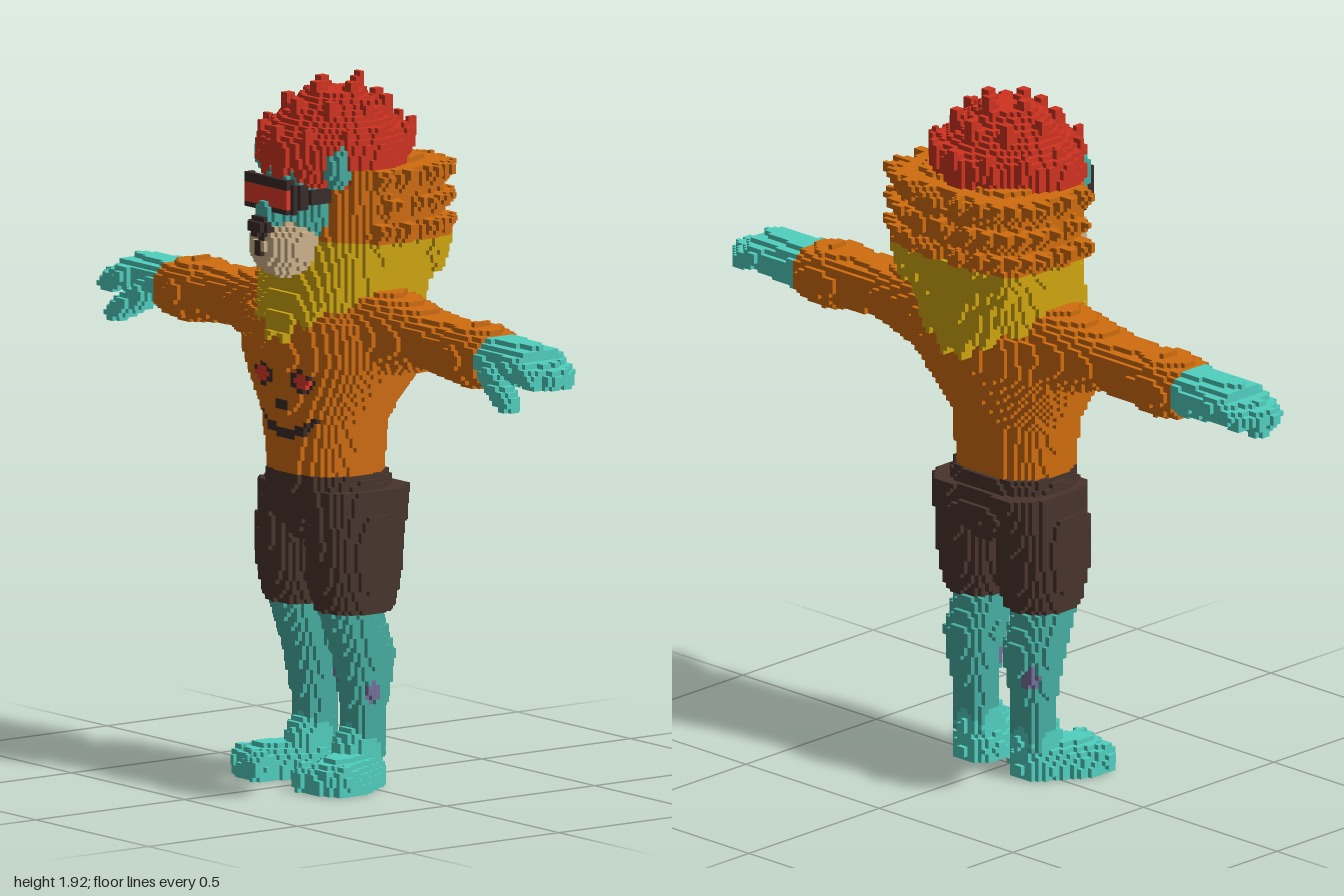
import * as THREE from 'three';

const V = 2 / 150; // cube size

const mat = (name, color) => Object.assign(new THREE.MeshStandardMaterial({ color }), { name });
const orange = mat('orange fur', 0xd06c0e);
const yellow = mat('yellow mane', 0xcfa60f);
const red = mat('red hair', 0xd03320);
const lens = mat('red lens', 0xe03a2a);
const brown = mat('dark brown cloth', 0x48342c);
const black = mat('charcoal', 0x3a2b29);
const cream = mat('cream muzzle', 0xcfb48c);
const teal = mat('teal skin', 0x46aea2);
const aqua = mat('bright teal skin', 0x50d0c0);
const purple = mat('purple mark', 0x74719a);

// Solids are inside-tests; x is mirrored before they are called.
const ball = (cx, cy, cz, rx, ry, rz) => (x, y, z) =>
  ((x - cx) / rx) ** 2 + ((y - cy) / ry) ** 2 + ((z - cz) / rz) ** 2 < 1;

// Tapered rod from a to b
const rod = (a, b, ra, rb) => {
  const line = new THREE.Line3(new THREE.Vector3(...a), new THREE.Vector3(...b));
  const p = new THREE.Vector3(), q = new THREE.Vector3();
  return (x, y, z) => {
    const t = line.closestPointToPointParameter(p.set(x, y, z), true);
    return line.at(t, q).distanceTo(p) < ra + (rb - ra) * t;
  };
};
const spike = (a, b) => rod(a, b, .06, .008);

// Section at t, blended between neighbouring rows
const section = (rows, t) => {
  const i = rows.findIndex((r) => r[0] > t) - 1;
  if (i < 0) return null;
  const A = rows[i], B = rows[i + 1], k = (t - A[0]) / (B[0] - A[0]);
  return A.map((q, j) => q + (B[j] - q) * k);
};
const round = (u, v, power) => Math.abs(u) ** power + Math.abs(v) ** power < 1;

// Upright form; row = [y, halfWidth, back, front]
const column = (cx, rows, power = 2.4) => (x, y, z) => {
  const s = section(rows, y);
  return s && round((x - cx) / s[1], (2 * z - s[2] - s[3]) / (s[3] - s[2]), power);
};
// Sideways limb, a little deeper than high; row = [x, centre height, half height]
const limb = (rows) => (x, y, z) => {
  const s = section(rows, x);
  return s && round((y - s[1]) / s[2], (z + .022) / (.045 + .64 * s[2]), 2.4);
};

// Parts added first win where they overlap; pairs are built left and right
const parts = [];
const add = (name, paint, ...solids) => parts.push({ name, solids, paint: paint.isMaterial ? () => paint : paint });
const addPair = (...args) => { parts[add(...args) - 1].pair = true; };

// Visor: thin curved band with narrow temples
const paintVisor = (x, y, z) => (z > .17 && Math.abs(x) < .09 && Math.abs(y - 1.611) < .026 ? lens : black);
add('visor', paintVisor, (x, y, z) => {
  const e = (x / .135) ** 4 + ((z - .04) / .193) ** 4;
  if (z < .1 || e > 1 || e < .72) return false;
  const trim = Math.max(0, x - .09) * .7;
  return Math.abs(y - 1.617) < (z < .17 ? .018 : .05 - trim);
});

// Head
add('nose', black, ball(0, 1.53, .243, .036, .03, .027));
add('muzzleBridge', teal, ball(0, 1.565, .18, .05, .055, .065));
add('muzzle', (x, y) => (Math.abs(x) < .01 && y > 1.45 ? black : cream), ball(0, 1.475, .155, .1, .085, .095));
addPair('ear', teal, ball(.15, 1.7, .1, .043, .062, .032));

// Crest: dome with rings of spikes, lower towards the rim
const crest = [column(0, [[1.69, .23, -.2, .205], [1.76, .22, -.21, .2], [1.88, .08, -.07, .06]], 1.75)];
for (let ring = 1; ring <= 3; ring++)
  for (let i = 0; i <= 2 * ring; i++) {
    const a = (i / (2 * ring) - .5) * Math.PI, f = ring / 3;
    const x = .2 * f * Math.cos(a), z = -.015 + .205 * f * Math.sin(a), y = 1.925 - .13 * f * f;
    crest.push(spike([x * .75, y - .11, z * .7], [x, y, z]));
  }
add('crest', red, ...crest);
add('head', teal, ball(0, 1.59, .04, .135, .17, .165));

// Mane: body of hair with jagged lower edge, ringed by spikes
const maneBody = column(0, [[1.18, .19, -.225, .21], [1.5, .23, -.245, .13], [1.7, .25, -.24, .12]], 2.6);
const jag = (s) => Math.abs(THREE.MathUtils.euclideanModulo(s / .07, 1) - .5);
const mane = [(x, y, z) => y > 1.2 + .5 * x + .1 * jag(x) && maneBody(x, y, z)];
for (let row = 0; row < 3; row++)
  for (let i = 0; i < 8; i++) {
    const a = -.25 + (i + (row % 2) / 2) * .245; // from the side round to the back
    const sx = Math.max(0, Math.cos(a)) ** .65, sz = Math.sign(a) * Math.abs(Math.sin(a)) ** .65;
    const y = 1.52 + row * .073;
    mane.push(spike([.18 * sx, y - .02, -.06 - .15 * sz], [.295 * sx, y + .015, -.06 - .215 * sz]));
  }
for (let i = 0; i < 5; i++) // hanging locks at the back
  mane.push(spike([.045 * i, 1.48, -.19], [.045 * i, 1.27 + .03 * i, -.22]));
add('mane', (x, y) => (y < 1.5 ? yellow : orange), ...mane);

// Hands with four fingers, the middle ones longest, and a thumb
const fingers = [-.085, -.042, .001, .044].map((z) =>
  rod([.85, 1.253, z], [.972 - 9 * (z + .016) ** 2, 1.225, z * .85], .033, .027));
const thumb = rod([.77, 1.215, .045], [.865, 1.157, .068], .037, .03);
addPair('hand', aqua, limb([[.71, 1.243, .063], [.89, 1.25, .05]]), thumb, ...fingers);
addPair('arm', orange,
  limb([[.2, 1.243, .122], [.42, 1.252, .072], [.54, 1.244, .072], [.62, 1.243, .085], [.71, 1.24, .069]]));

// Torso with a face painted on the chest
const paintTorso = (x, y, z) => {
  const ax = Math.abs(x), low = .945 + 4 * x * x;
  const eye = (rx, ry) => round((ax - .085) / rx, (y - 1.113) / ry, 2);
  if (z < .06) return orange;
  if (eye(.036, .018)) return lens;
  const nose = Math.abs(y - 1.042) < .014 && ax < .022;
  const smile = ax < .115 && y > low && y < low + .034 - ax * .12;
  return eye(.047, .028) || nose || smile ? black : orange;
};
add('torso', paintTorso, column(0, [[.86, .157, -.11, .157], [1, .18, -.11, .165], [1.17, .29, -.182, .184],
  [1.27, .275, -.182, .177], [1.39, .15, -.08, .07]]));

// Shorts
const hips = column(0, [[.67, .13, -.1, .11], [.74, .195, -.15, .15], [.86, .16, -.115, .157]], 2.6);
const shortLeg = column(.11, [[.475, .084, -.085, .11], [.56, .103, -.107, .135],
  [.66, .106, -.115, .143], [.82, .09, -.15, .14]]);
add('shorts', brown, hips, shortLeg);

// Feet turned slightly out, with four toes
const toes = [0, 1, 2, 3].map((i) => ball(.098 + .042 * i, .035, .165 - .012 * i, .025, .045, .04));
addPair('foot', aqua, rod([.105, .03, 0], [.155, .01, .1], .075, .085), ball(.105, .1, -.005, .057, .075, .07), ...toes);

// Lower legs with small marks on the calves
const markAt = (x, y, z) => ball(x, y, z, .027, .036, .03);
const marks = [markAt(.055, .3, .03), markAt(.147, .265, -.01), markAt(-.14, .3, -.06)];
addPair('leg', (x, y, z) => (marks.some((m) => m(x, y, z)) ? purple : teal),
  column(.109, [[.08, .056, -.072, .04], [.2, .053, -.072, .03], [.36, .077, -.097, .06], [.48, .073, -.055, .105]]));

// One mesh for the exposed cube faces of one colour
function cubesMesh(cells, filled, material) {
  const pos = [];
  for (const c of cells)
    for (let a = 0; a < 3; a++)
      for (const s of [1, -1]) {
        const n = [...c];
        n[a] += s;
        if (filled.has(n.join())) continue;
        const quad = [[0, 0], [1, 0], [1, 1], [0, 1]].map(([u, v]) => {
          const p = [...c];
          if (s > 0) p[a]++;
          p[(a + 1) % 3] += u;
          p[(a + 2) % 3] += v;
          return p.map((q) => q * V);
        });
        if (s < 0) quad.reverse();
        for (const i of [0, 1, 2, 0, 2, 3]) pos.push(...quad[i]);
      }
  const geo = new THREE.BufferGeometry();
  geo.setAttribute('position', new THREE.Float32BufferAttribute(pos, 3));
  geo.computeVertexNormals();
  return pos.length ? new THREE.Mesh(geo, material) : null;
}

export function createModel() {
  const model = new THREE.Group();
  model.name = 'figure';
  const filled = new Set(), groups = new Map();
  // Fill the grid, sorting cubes by part and colour
  for (let i = -75; i < 75; i++)
    for (let j = 0; j < 146; j++)
      for (let k = -22; k < 22; k++) {
        const [x, y, z] = [i, j, k].map((q) => (q + .5) * V);
        const part = parts.find((p) => p.solids.some((inside) => inside(Math.abs(x), y, z)));
        if (!part) continue;
        filled.add([i, j, k].join());
        const side = x > 0 ? 'left' : 'right';
        const name = part.pair ? side + part.name[0].toUpperCase() + part.name.slice(1) : part.name;
        if (!groups.has(name)) groups.set(name, new Map());
        const byColour = groups.get(name), m = part.paint(x, y, z);
        if (!byColour.has(m)) byColour.set(m, []);
        byColour.get(m).push([i, j, k]);
      }
  for (const [name, byColour] of groups) {
    const group = new THREE.Group();
    group.name = name;
    for (const [m, cells] of byColour) {
      const mesh = cubesMesh(cells, filled, m);
      if (mesh) group.add(Object.assign(mesh, { name: name + ' ' + m.name }));
    }
    model.add(group);
  }
  return model;
}
